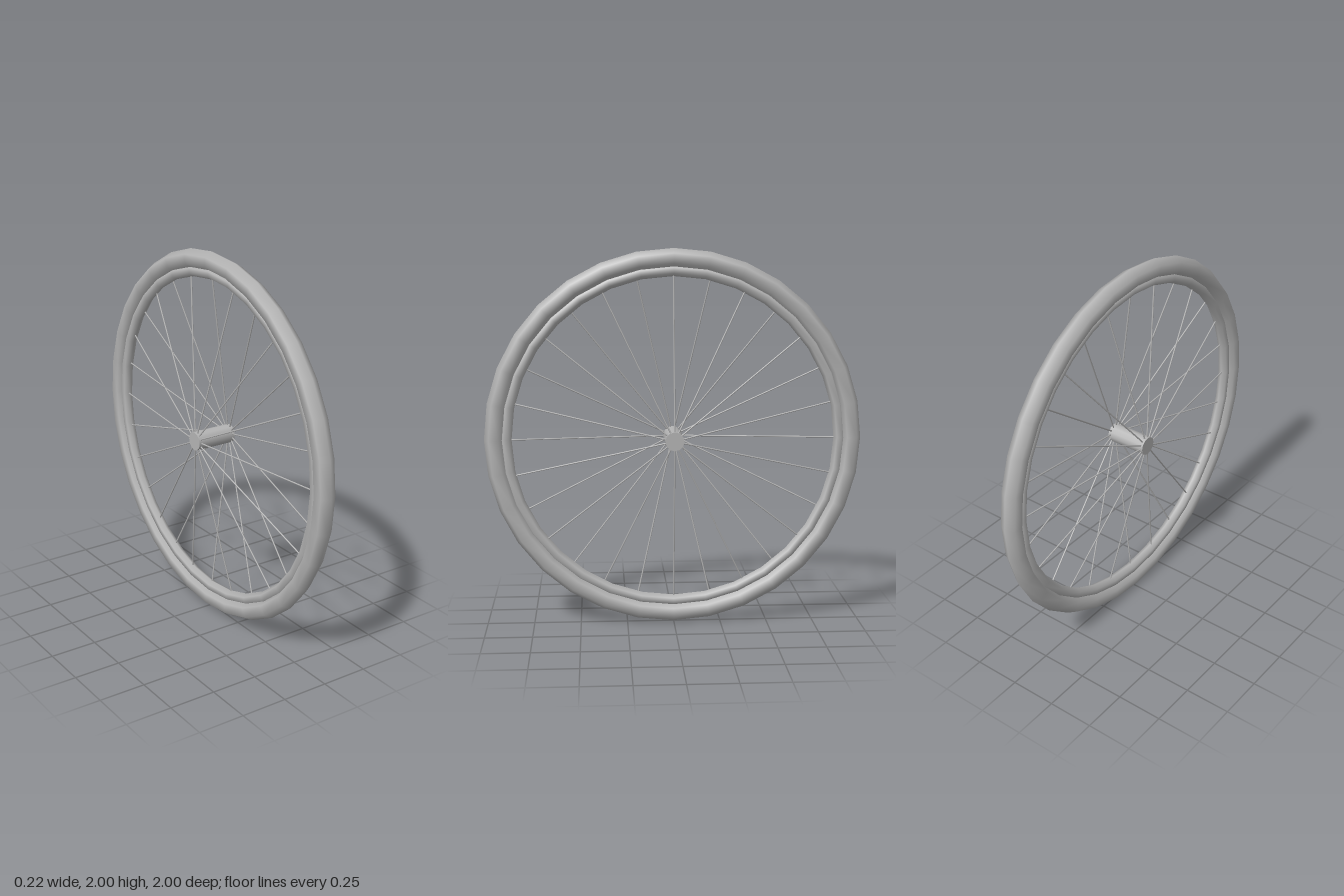
import * as THREE from 'three';

const SPOKES = 28;
const HUB_END = 0.105;
const RIM_RADIUS = 0.87;

export function createModel() {
  const wheel = new THREE.Group();
  wheel.name = 'wheel';
  wheel.position.y = 1;
  const grey = new THREE.MeshStandardMaterial({ color: 0xb4b4b4 });
  grey.name = 'light grey';

  const add = (name, geometry, parent = wheel) => {
    const mesh = new THREE.Mesh(geometry, grey);
    mesh.name = name;
    parent.add(mesh);
    return mesh;
  };

  // Tyre and narrower rim: smooth rings with six-sided sections, axle along x
  add('tyre', new THREE.TorusGeometry(0.948, 0.052, 6, 32).rotateY(Math.PI / 2));
  add('rim', new THREE.TorusGeometry(0.885, 0.03, 6, 32).rotateY(Math.PI / 2));

  // Hub
  add('hub', new THREE.CylinderGeometry(0.05, 0.05, 0.225, 12).rotateZ(Math.PI / 2));

  // Spokes run from alternating hub ends to the middle of the rim
  const spokes = new THREE.Group();
  spokes.name = 'spokes';
  wheel.add(spokes);
  const length = Math.hypot(HUB_END, RIM_RADIUS);
  const spokeGeometry = new THREE.CylinderGeometry(0.004, 0.004, length, 6);
  const up = new THREE.Vector3(0, 1, 0);
  for (let i = 0; i < SPOKES; i++) {
    const angle = (i / SPOKES) * Math.PI * 2;
    const start = new THREE.Vector3(i % 2 ? -HUB_END : HUB_END, 0, 0);
    const end = new THREE.Vector3(0, Math.cos(angle) * RIM_RADIUS, Math.sin(angle) * RIM_RADIUS);
    const spoke = add('spoke', spokeGeometry, spokes);
    spoke.position.copy(start).add(end).multiplyScalar(0.5);
    spoke.quaternion.setFromUnitVectors(up, end.sub(start).normalize());
  }

  const model = new THREE.Group();
  model.name = 'spokedWheel';
  model.add(wheel);
  return model;
}
